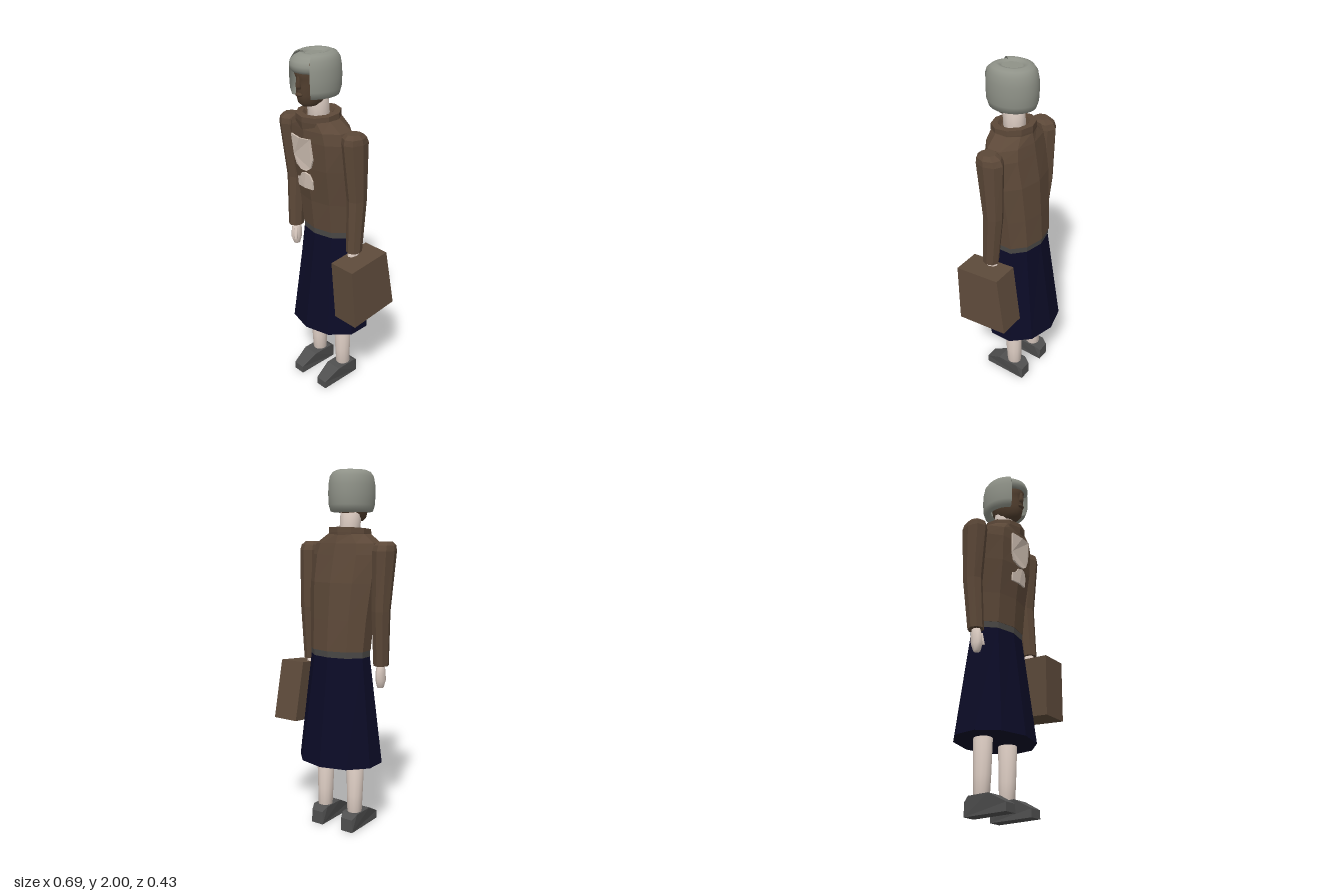
import * as THREE from 'three';

const mat = (name, color) => {
  const m = new THREE.MeshStandardMaterial({ color, side: THREE.DoubleSide });
  m.name = name;
  return m;
};

// Loft closed elliptical rings: [y, centreX, centreZ, radiusX, radiusZ, slope of y along z]
function loft(rings, sides, smooth = false) {
  const pos = [], idx = [];
  for (const [y, cx, cz, rx, rz, slope = 0] of rings) {
    for (let j = 0; j < sides; j++) {
      const a = (j / sides) * Math.PI * 2;
      pos.push(cx + rx * Math.sin(a), y + slope * rz * Math.cos(a), cz + rz * Math.cos(a));
    }
  }
  const last = rings.length - 1;
  const bottom = pos.length / 3, top = bottom + 1;
  for (const r of [rings[0], rings[last]]) pos.push(r[1], r[0], r[2]);
  for (let j = 0; j < sides; j++) {
    const k = (j + 1) % sides;
    for (let i = 0; i < last; i++) {
      const a = i * sides + j, b = i * sides + k;
      idx.push(a, b, b + sides, a, b + sides, a + sides);
    }
    idx.push(bottom, k, j, top, last * sides + j, last * sides + k);
  }
  let g = new THREE.BufferGeometry();
  g.setAttribute('position', new THREE.Float32BufferAttribute(pos, 3));
  g.setIndex(idx);
  if (!smooth) g = g.toNonIndexed();
  g.computeVertexNormals();
  return g;
}

// Move every vertex by a rule
function warp(g, rule) {
  const p = g.attributes.position, v = new THREE.Vector3();
  for (let i = 0; i < p.count; i++) {
    rule(v.fromBufferAttribute(p, i));
    p.setXYZ(i, v.x, v.y, v.z);
  }
  g.computeVertexNormals();
  return g;
}

const polygon = (pts) => new THREE.Shape(pts.map(([x, y]) => new THREE.Vector2(x, y)));

// Side profile of [z, y] points, extruded across x and centred on it
function sideExtrude(pts, width) {
  const g = new THREE.ExtrudeGeometry(polygon(pts), { depth: width, bevelEnabled: false });
  return g.translate(0, 0, -width / 2).rotateY(-Math.PI / 2);
}

export function createModel() {
  const group = new THREE.Group();
  const brown = mat('jacket brown', 0x5c4838);
  const caseBrown = mat('case brown', 0x5e4b3b);
  const faceBrown = mat('face brown', 0x523f2f);
  const navy = mat('skirt navy', 0x0b0b26);
  const beltGrey = mat('belt grey', 0x4a4846);
  const hairGrey = mat('hair grey', 0x8f9288);
  const skin = mat('skin', 0xdfcfc5);
  const shirt = mat('shirt cream', 0xd2c2b5);
  const shoeGrey = mat('shoe grey', 0x505050);

  const add = (name, geometry, material) => {
    const m = new THREE.Mesh(geometry, material);
    m.name = name;
    group.add(m);
    return m;
  };

  // Skirt, belt and jacket body
  add('skirt', loft([
    [0.395, -0.035, -0.014, 0.252, 0.201],
    [1.0, -0.031, -0.01, 0.18, 0.12],
  ], 10), navy);
  add('belt', loft([
    [0.995, -0.031, -0.01, 0.181, 0.122],
    [1.035, -0.031, -0.01, 0.183, 0.124],
  ], 10), beltGrey);
  add('jacket', loft([
    [1.03, -0.031, -0.011, 0.185, 0.127],
    [1.2, -0.032, 0.002, 0.195, 0.13],
    [1.4, -0.034, 0.025, 0.212, 0.138],
    [1.55, -0.038, 0.044, 0.218, 0.128],
    [1.61, -0.042, 0.05, 0.198, 0.122],
    [1.66, -0.045, 0.056, 0.125, 0.112],
  ], 10), brown);
  add('collar', loft([
    [1.62, -0.046, 0.058, 0.118, 0.115, -0.08],
    [1.66, -0.046, 0.06, 0.122, 0.119, -0.08],
    [1.688, -0.046, 0.06, 0.121, 0.118, -0.08],
    [1.69, -0.046, 0.06, 0.085, 0.085, -0.08],
    [1.67, -0.046, 0.06, 0.07, 0.07, -0.08],
  ], 10), brown);

  // Shirt front: two thin plates bent over the chest
  const plates = [
    [[-0.125, 1.575], [-0.048, 1.57], [0.022, 1.575], [0.028, 1.46], [0.01, 1.41],
      [-0.02, 1.39], [-0.06, 1.39], [-0.1, 1.41], [-0.117, 1.46]],
    [[-0.1, 1.285], [-0.045, 1.285], [0.012, 1.285], [0.014, 1.335], [-0.002, 1.37],
      [-0.03, 1.378], [-0.06, 1.37], [-0.075, 1.345], [-0.1, 1.335]],
  ];
  for (const pts of plates) {
    const g = new THREE.ExtrudeGeometry(polygon(pts), { depth: 0.009, bevelEnabled: false });
    add('shirtFront', warp(g, (v) => {
      v.z += 0.16 + (v.y - 1.29) * 0.1 - 0.15 * Math.abs(v.x + 0.04);
    }), shirt);
  }

  // Sleeves, from cuff to rounded shoulder
  for (const [name, shoulder, elbow, cuff] of [
    ['rightSleeve', -0.285, -0.276, -0.268], ['leftSleeve', 0.196, 0.2, 0.205]]) {
    add(name, loft([
      [0.95, cuff, 0.04, 0.042, 0.046],
      [1.25, elbow, 0.02, 0.05, 0.057],
      [1.57, shoulder, 0.036, 0.06, 0.08],
      [1.6, shoulder, 0.04, 0.056, 0.07],
      [1.62, shoulder, 0.045, 0.038, 0.042],
    ], 8), brown);
  }

  // Hands: the right hangs open, the left is closed on the case
  add('rightHand', loft([
    [0.825, -0.262, 0.045, 0.018, 0.02],
    [0.865, -0.264, 0.045, 0.025, 0.036],
    [0.91, -0.264, 0.042, 0.024, 0.036],
    [0.96, -0.266, 0.04, 0.02, 0.024],
  ], 8, true), skin);
  add('rightThumb', loft([
    [0.865, -0.24, 0.07, 0.009, 0.01],
    [0.925, -0.25, 0.06, 0.012, 0.014],
  ], 6, true), skin);
  add('leftHand', loft([
    [0.9, 0.2, 0.04, 0.026, 0.04],
    [0.93, 0.202, 0.04, 0.026, 0.04],
    [0.96, 0.204, 0.04, 0.02, 0.026],
  ], 8, true), skin);

  // Case: tapered side profile, leaning outward toward the bottom
  add('case', warp(
    sideExtrude([[0.165, 0.572], [0.18, 0.915], [-0.087, 0.94], [-0.142, 0.603]], 0.155),
    (v) => { v.x += 0.25 + (0.94 - v.y) * 0.044; },
  ), caseBrown);

  // Legs and shoes
  const shoeProfile = [[-0.1, 0], [0.165, 0], [0.165, 0.045], [0.14, 0.06],
    [0.065, 0.1], [-0.065, 0.1], [-0.1, 0.075]];
  for (const [side, x] of [['right', -0.136], ['left', 0.068]]) {
    add(side + 'Leg', loft([
      [0.08, x, -0.018, 0.04, 0.042],
      [0.2, x, -0.015, 0.044, 0.047],
      [0.42, x, -0.012, 0.051, 0.053],
    ], 12, true), skin);
    add(side + 'Shoe', warp(sideExtrude(shoeProfile, 0.106), (v) => {
      const taper = v.z > 0.1 ? 0.68 : v.z < -0.09 ? 0.72 : 1;
      v.x = x + v.x * taper * (1 - v.y * 0.8);
    }), shoeGrey);
  }

  // Neck and head
  add('neck', loft([
    [1.64, -0.047, 0.055, 0.057, 0.06],
    [1.8, -0.05, 0.065, 0.056, 0.06],
  ], 12, true), skin);
  add('head', loft([
    [1.73, -0.05, 0.105, 0.035, 0.055],
    [1.75, -0.05, 0.1, 0.055, 0.082],
    [1.79, -0.05, 0.09, 0.068, 0.1],
    [1.84, -0.05, 0.085, 0.075, 0.104],
    [1.875, -0.05, 0.085, 0.076, 0.103],
    [1.9, -0.05, 0.085, 0.076, 0.115],
    [1.95, -0.05, 0.08, 0.07, 0.105],
  ], 16, true), faceBrown);
  add('nose', loft([
    [1.825, -0.05, 0.184, 0.014, 0.016],
    [1.84, -0.05, 0.188, 0.016, 0.02],
    [1.89, -0.05, 0.188, 0.008, 0.01],
  ], 6, true), faceBrown);
  add('lips', new THREE.SphereGeometry(1, 10, 6).scale(0.024, 0.011, 0.014)
    .translate(-0.05, 1.795, 0.188), faceBrown);

  // Hair: rolled shell open at the face, with a dished crown and a separate fringe
  const half = 0.67;
  const hairPart = (name, pts, start, length, segments) => {
    const g = new THREE.LatheGeometry(
      pts.map(([r, y]) => new THREE.Vector2(r, y)), segments, start, length);
    add(name, g.scale(0.123, 1, 0.142).translate(-0.051, 0, 0.071), hairGrey);
  };
  hairPart('hairShell', [
    [0.64, 1.81], [0.74, 1.775], [0.9, 1.78], [0.98, 1.815], [1, 1.87], [0.99, 1.92],
    [0.93, 1.965], [0.8, 1.99], [0.62, 2], [0.48, 1.997], [0.4, 1.985],
  ], half, Math.PI * 2 - half * 2, 36);
  hairPart('fringe', [
    [0.7, 1.91], [0.9, 1.905], [0.99, 1.92], [1, 1.94], [0.95, 1.962],
    [0.8, 1.98], [0.6, 1.992], [0.48, 1.993], [0.4, 1.985],
  ], -half, half * 2, 14);
  add('crown', new THREE.CylinderGeometry(0.5, 0.5, 0.01, 24).scale(0.123, 1, 0.142)
    .translate(-0.051, 1.98, 0.071), hairGrey);

  return group;
}
